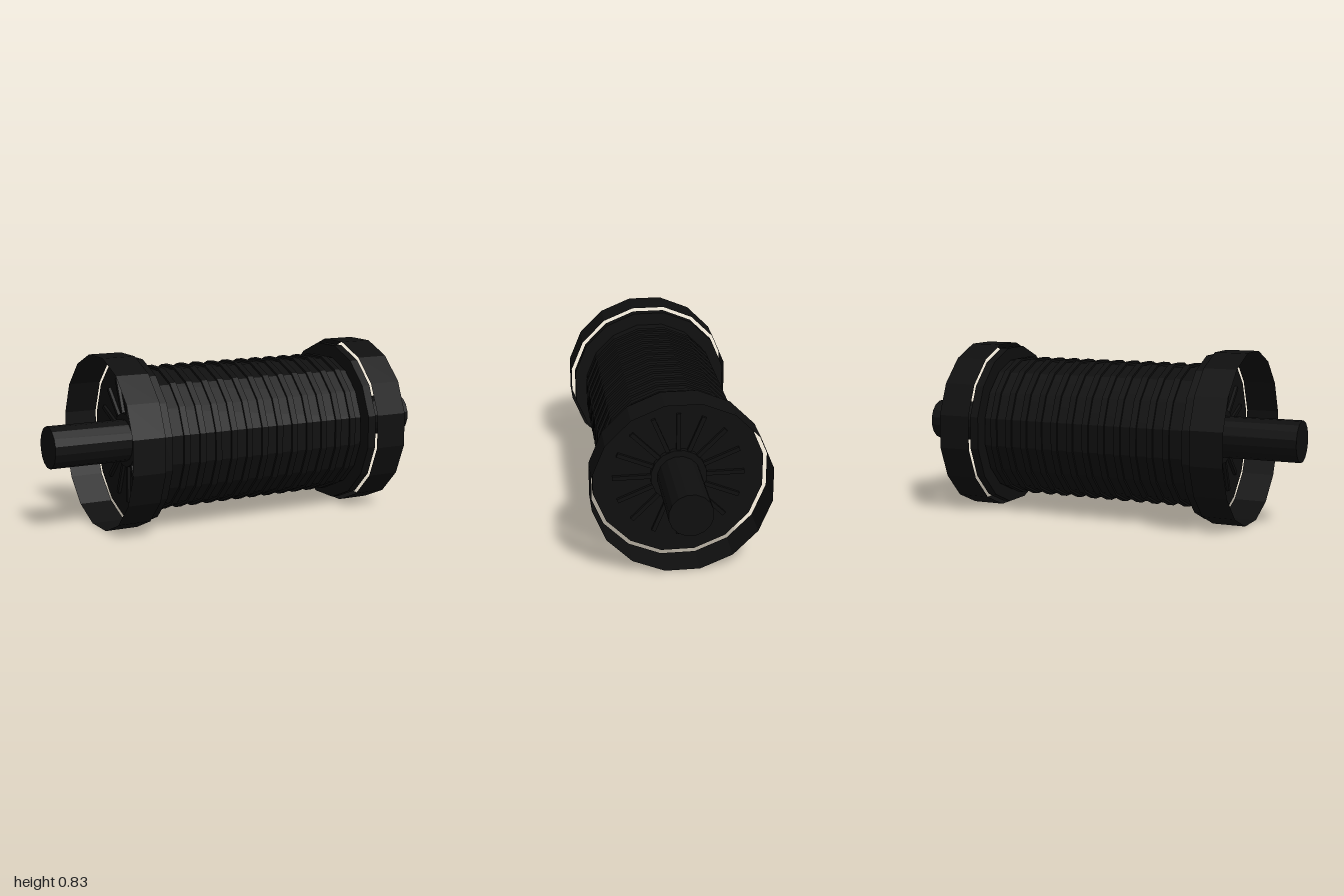
import * as THREE from 'three';

const SIDES = 16;
const AXIS_Y = 0.4175;

export function createModel() {
  const model = new THREE.Group();
  const black = new THREE.MeshStandardMaterial({ color: 0x0f0f0f });
  black.name = 'black';
  black.flatShading = true;
  black.side = THREE.DoubleSide;

  // Sixteen-sided drum along x with a flat on top; apothem is measured to the flats
  function drum(name, apothem, x0, x1, open = false) {
    const r = apothem / Math.cos(Math.PI / SIDES);
    const geo = new THREE.CylinderGeometry(r, r, x1 - x0, SIDES, 1, open, Math.PI / SIDES);
    geo.rotateZ(Math.PI / 2);
    const mesh = new THREE.Mesh(geo, black);
    mesh.name = name;
    mesh.position.set((x0 + x1) / 2, AXIS_Y, 0);
    model.add(mesh);
    return mesh;
  }

  // Shaft and core running through the drum
  drum('axle', 0.1, -1, 1);
  drum('core', 0.28, -0.56, 0.56);
  drum('body', 0.338, -0.537, 0.537);

  // Raised bands round the body
  for (let i = 0; i < 12; i++) {
    const x = -0.441 + i * 0.084;
    drum('band', 0.348, x - 0.016, x + 0.016);
  }

  // Both ends: flange plate, thin open rim, hub and radial ribs
  for (const s of [-1, 1]) {
    const span = (a, b) => (s > 0 ? [a, b] : [-b, -a]);
    drum('flange', 0.4, ...span(0.542, 0.585));
    drum('rim', AXIS_Y, ...span(0.585, 0.75), true);
    drum('hub', 0.13, ...span(0.58, 0.61));

    const ribs = new THREE.Group();
    ribs.name = 'ribs';
    ribs.position.set(s * 0.59, AXIS_Y, 0);
    for (let i = 0; i < SIDES; i++) {
      const geo = new THREE.BoxGeometry(0.02, 0.2, 0.02);
      geo.translate(0, 0.21, 0);
      const rib = new THREE.Mesh(geo, black);
      rib.name = 'rib';
      rib.rotation.x = (i / SIDES) * Math.PI * 2;
      ribs.add(rib);
    }
    model.add(ribs);
  }
  return model;
}
